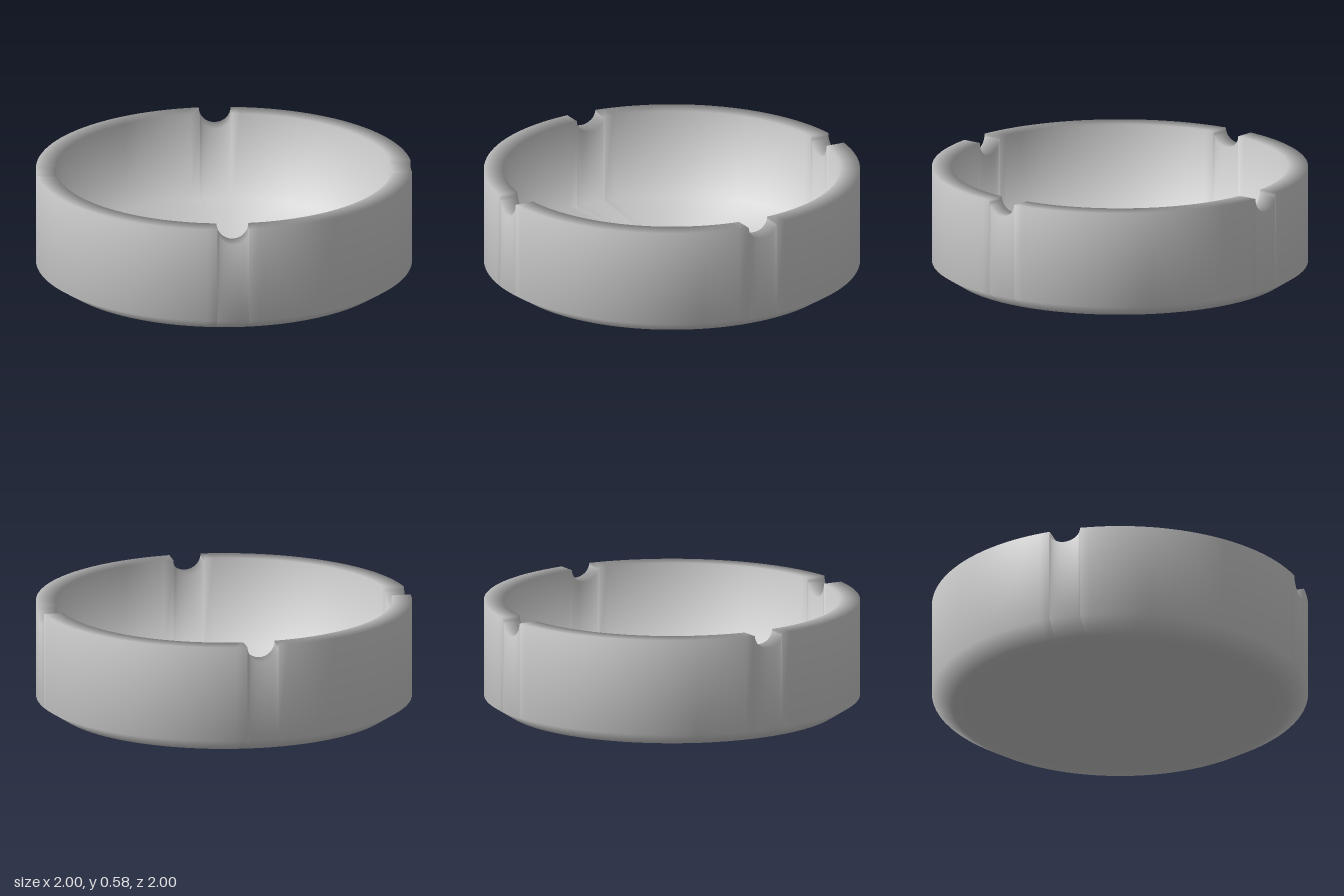
import * as THREE from 'three';

const OUTER = 1, INNER = 0.895, HEIGHT = 0.585, FLOOR = 0.105;
const NOTCH = 0.085;              // half width of each rest notch
const DEPTHS = [0.085, 0.072];    // front/back notches, side notches
const TOP = -1;                   // marks a ring that follows the notched rim

// Columns around the dish: each has an angle for a given radius and a rim height
function makeColumns() {
  const columns = [];
  const notchSteps = 16, wallSteps = 26;
  for (let q = 0; q < 4; q++) {
    const base = q * Math.PI / 2;
    for (let i = 0; i <= notchSteps; i++) {
      const t = Math.PI * i / notchSteps;
      const s = -NOTCH * Math.cos(t);
      columns.push({
        angle: r => base + Math.asin(s / r),
        top: HEIGHT - DEPTHS[q % 2] * Math.sin(t),
      });
    }
    for (let i = 1; i < wallSteps; i++) {
      const u = i / wallSteps;
      columns.push({
        angle: r => {
          const edge = Math.asin(NOTCH / r);
          return base + edge + (Math.PI / 2 - 2 * edge) * u;
        },
        top: HEIGHT,
      });
    }
  }
  return columns;
}

// Closed, smooth band of quads through rings given as [radius, height]
function band(columns, rings) {
  const positions = [], index = [];
  const n = columns.length, m = rings.length;
  for (const column of columns) {
    for (const [r, y] of rings) {
      const a = column.angle(Math.max(r, 0.5));
      positions.push(r * Math.sin(a), y === TOP ? column.top : y, r * Math.cos(a));
    }
  }
  for (let i = 0; i < n; i++) {
    for (let j = 0; j < m - 1; j++) {
      const a = i * m + j, b = ((i + 1) % n) * m + j;
      if (rings[j][0] > 0) index.push(a, b, b + 1);
      if (rings[j + 1][0] > 0) index.push(a, b + 1, a + 1);
    }
  }
  const geometry = new THREE.BufferGeometry();
  geometry.setAttribute('position', new THREE.Float32BufferAttribute(positions, 3));
  geometry.setIndex(index);
  geometry.computeVertexNormals();
  return geometry;
}

export function createModel() {
  const group = new THREE.Group();
  group.name = 'ashtray';
  // One smooth skin, from the centre of the underside to the centre of the bowl
  const profile = [
    [0, 0], [0.82, 0], [0.89, 0], [OUTER, 0.07],  // underside and bevelled foot
    [OUTER, TOP], [INNER, TOP],                   // outer wall and notched rim
    [INNER, FLOOR], [0, FLOOR],                   // inner wall and bowl floor
  ];
  const dish = new THREE.Mesh(
    band(makeColumns(), profile),
    new THREE.MeshStandardMaterial({ color: 0xcccccc }),
  );
  dish.name = 'notchedDish';
  group.add(dish);
  return group;
}
